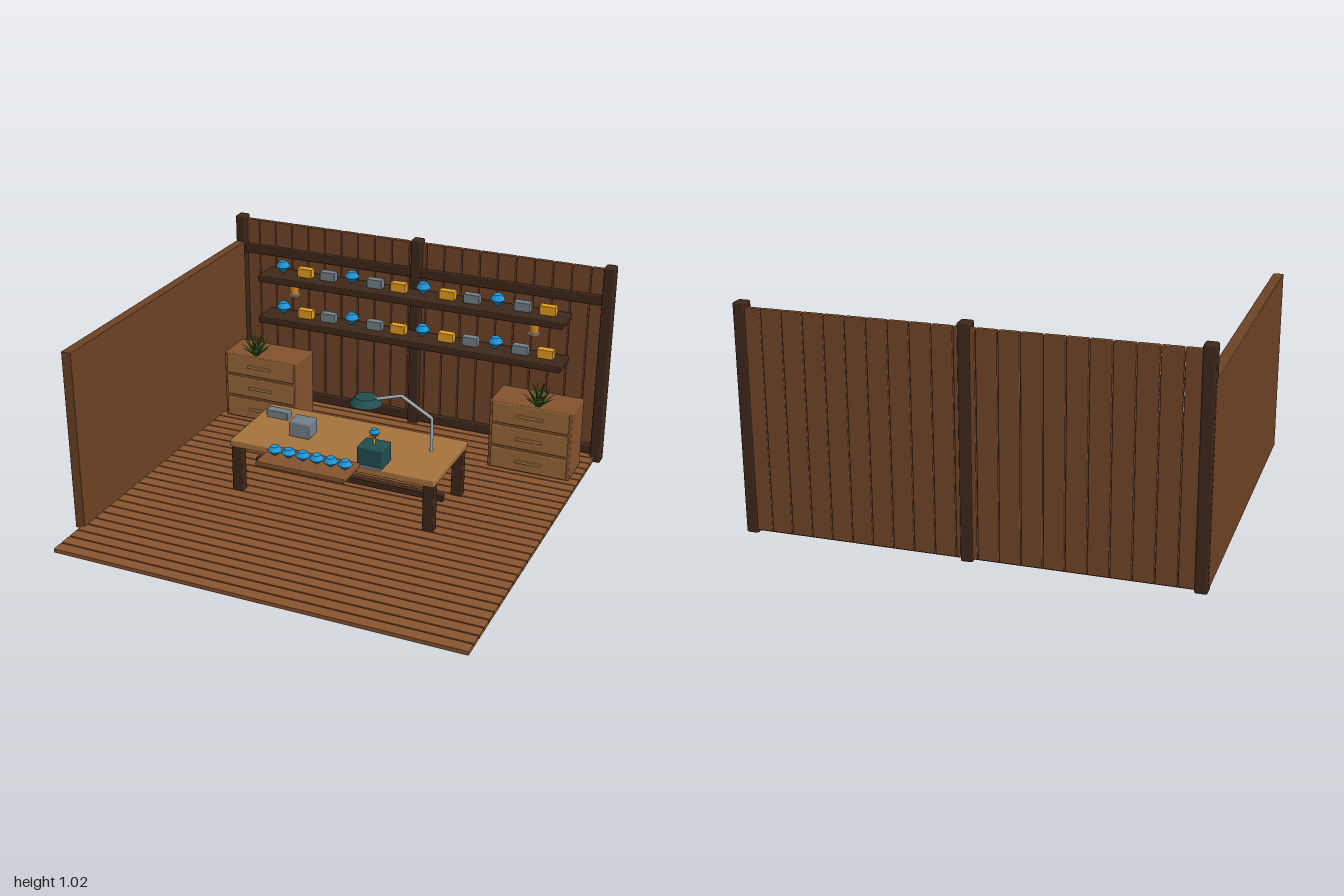
import * as THREE from 'three';
import { RoundedBoxGeometry } from 'three/addons/geometries/RoundedBoxGeometry.js';

const mat = (color, extra = {}) => {
  const m = new THREE.MeshStandardMaterial({ color, ...extra });
  return m;
};
const M = {
  floor: mat(0x8a5630), wall: mat(0x74462a), sideWall: mat(0x6e4324), dark: mat(0x3f281b),
  top: mat(0xa8743f), cabinet: mat(0x85532e), drawer: mat(0x9c6a3a), handle: mat(0xb58342),
  gem: mat(0x1e96d8, { flatShading: true }), gold: mat(0xe6a022), grey: mat(0x74828a),
  teal: mat(0x234f50), metal: mat(0xaab2b6), amber: mat(0xd98a28),
  leafA: mat(0x2f5c22, { flatShading: true }), leafB: mat(0x53702a, { flatShading: true }),
};

export function createModel() {
  const root = new THREE.Group();

  const add = (name, geo, material, x = 0, y = 0, z = 0, parent = root) => {
    const m = new THREE.Mesh(geo, material);
    m.name = name;
    m.position.set(x, y, z);
    parent.add(m);
    return m;
  };
  // Softly bevelled box given by its min and max corners
  const block = (name, material, x0, x1, y0, y1, z0, z1, bevel = 0.004, parent = root) =>
    add(name, new RoundedBoxGeometry(x1 - x0, y1 - y0, z1 - z0, 1, bevel), material,
      (x0 + x1) / 2, (y0 + y1) / 2, (z0 + z1) / 2, parent);
  const group = (name, x = 0, y = 0, z = 0) => {
    const g = new THREE.Group();
    g.name = name;
    g.position.set(x, y, z);
    root.add(g);
    return g;
  };

  // Cut gem standing on its point
  const gemProfile = [[0, 0], [1, 0.58], [0.96, 0.66], [0.58, 1], [0, 1]];
  const gem = (x, y, z, r, h, parent = root) =>
    add('gem', new THREE.LatheGeometry(gemProfile.map(([a, b]) => new THREE.Vector2(a * r, b * h)), 10),
      M.gem, x, y, z, parent);

  // Floor planks
  const floor = group('floor');
  const rows = 30, pitch = 1.89 / rows;
  for (let i = 0; i < rows; i++) {
    const z = -0.94 + i * pitch;
    block('floorPlank', M.floor, -0.97, 0.97, 0.01, 0.03, z + 0.003, z + pitch - 0.002, 0.003, floor);
  }

  // Back wall: upright planks, posts and rails
  const back = group('backWall');
  const count = 21, w = 1.94 / count;
  for (let i = 0; i < count; i++) {
    const x = -0.97 + i * w;
    block('wallPlank', M.wall, x + 0.002, x + w - 0.002, 0.015, 1.0, -0.945, -0.92, 0.004, back);
  }
  for (const x of [-0.972, 0, 0.972]) block('post', M.dark, x - 0.027, x + 0.027, 0, 1.02, -0.95, -0.888, 0.008, back);
  block('upperRail', M.dark, -0.95, 0.95, 0.825, 0.87, -0.925, -0.893, 0.005, back);
  block('lowerRail', M.dark, -0.95, 0.95, 0.04, 0.085, -0.925, -0.893, 0.005, back);

  // Solid side wall
  block('sideWall', M.sideWall, -1.0, -0.952, 0.015, 0.882, -0.93, 0.725, 0.003);

  // Shelves with gems, gold bars and grey boxes
  for (const y of [0.543, 0.767]) {
    const shelf = group('shelf');
    block('shelfBoard', M.dark, -0.805, 0.805, y - 0.035, y, -0.9, -0.747, 0.005, shelf);
    for (let i = 0; i < 12; i++) {
      const x = -0.7 + i * 0.128;
      if (i % 3 === 0) gem(x, y, -0.83, 0.037, 0.065, shelf);
      else block('shelfBox', i % 2 ? M.gold : M.grey, x - 0.04, x + 0.04, y, y + 0.046, -0.852, -0.81, 0.003, shelf);
    }
  }

  // Lanterns hanging below the upper shelf
  for (const s of [-1, 1]) {
    const lantern = group('lantern', s * 0.64, 0, -0.835);
    add('lanternGlass', new THREE.CylinderGeometry(0.028, 0.023, 0.075, 12), M.amber, 0, 0.699, 0, lantern);
    add('lanternBase', new THREE.CylinderGeometry(0.03, 0.03, 0.008, 12), M.metal, 0, 0.658, 0, lantern);
  }

  // Drawer cabinets with spiky plants on top
  for (const s of [-1, 1]) {
    const cab = group('cabinet', s * 0.72);
    block('cabinetBody', M.cabinet, -0.205, 0.205, 0.03, 0.385, -0.785, -0.588, 0.006, cab);
    for (let i = 0; i < 3; i++) {
      const y = 0.09 + i * 0.12;
      block('drawer', M.drawer, -0.19, 0.19, y - 0.053, y + 0.053, -0.595, -0.578, 0.005, cab);
      block('handle', M.handle, -0.065, 0.065, y - 0.007, y + 0.007, -0.58, -0.568, 0.003, cab);
    }
    const plant = group('plant', s * 0.75, 0.39, -0.607);
    for (let ring = 0; ring < 3; ring++) {
      const n = [9, 7, 4][ring], len = [0.098, 0.115, 0.12][ring], tilt = [0.95, 0.58, 0.22][ring];
      for (let i = 0; i < n; i++) {
        const geo = new THREE.ConeGeometry(0.015, len, 4).translate(0, len / 2, 0).scale(1, 1, 0.5);
        const leaf = add('leaf', geo, i % 2 ? M.leafA : M.leafB, 0, 0, 0, plant);
        leaf.rotation.order = 'YXZ';
        leaf.rotation.set(tilt, (i / n) * Math.PI * 2 + ring * 0.4, 0);
      }
    }
  }

  // Work table
  const table = group('workTable');
  block('tableTop', M.top, -0.51, 0.51, 0.26, 0.295, -0.297, 0.143, 0.006, table);
  for (const x of [-0.48, 0.48]) {
    for (const z of [-0.26, 0.112]) block('tableLeg', M.dark, x - 0.026, x + 0.026, 0.025, 0.262, z - 0.024, z + 0.024, 0.005, table);
  }
  block('stretcher', M.dark, -0.48, 0.48, 0.083, 0.114, -0.087, -0.056, 0.003, table);

  // Sorting tray with a row of gems
  const tray = group('gemTray');
  block('trayBoard', M.cabinet, -0.28, 0.157, 0.295, 0.318, 0.15, 0.33, 0.004, tray);
  for (let i = 0; i < 6; i++) gem(-0.225 + i * 0.0695, 0.315, 0.24, 0.034, 0.05, tray);

  // Gem holder: box, stem, claws and gem
  const holder = group('gemHolder', 0.197, 0, 0.085);
  block('holderBox', M.teal, -0.062, 0.062, 0.295, 0.39, -0.055, 0.055, 0.006, holder);
  block('holderPlate', M.metal, -0.056, 0.056, 0.293, 0.301, 0.03, 0.064, 0.002, holder);
  add('stem', new THREE.CylinderGeometry(0.005, 0.007, 0.04, 8), M.gold, 0, 0.408, 0, holder);
  for (let i = 0; i < 4; i++) {
    const claw = add('claw', new THREE.CylinderGeometry(0.003, 0.003, 0.03, 6).translate(0, 0.015, 0), M.gold, 0, 0.42, 0, holder);
    claw.rotation.order = 'YXZ';
    claw.rotation.set(0.95, i * Math.PI / 2 + Math.PI / 4, 0);
  }
  gem(0, 0.427, 0, 0.025, 0.038, holder);

  // Grey instrument: body and raised head
  const tool = group('instrument');
  block('instrumentBody', M.grey, -0.276, -0.17, 0.295, 0.37, -0.098, -0.004, 0.005, tool);
  block('instrumentHead', M.grey, -0.403, -0.293, 0.358, 0.397, -0.077, -0.029, 0.004, tool);

  // Desk lamp with a bent arm
  const lamp = group('deskLamp');
  const pts = [[0.39, 0.295, -0.135], [0.39, 0.46, -0.133], [0.245, 0.553, -0.117], [0.12, 0.52, -0.1]]
    .map(p => new THREE.Vector3(...p));
  const path = new THREE.CurvePath();
  for (let i = 0; i < 3; i++) path.add(new THREE.LineCurve3(pts[i], pts[i + 1]));
  add('lampArm', new THREE.TubeGeometry(path, 60, 0.008, 8), M.metal, 0, 0, 0, lamp);
  for (const p of [pts[0], pts[3]]) add('armEnd', new THREE.SphereGeometry(0.008, 8, 6), M.metal, p.x, p.y, p.z, lamp);
  add('lampShade', new THREE.CylinderGeometry(0.05, 0.077, 0.032, 20), M.teal, 0.08, 0.512, -0.093, lamp);

  return root;
}
